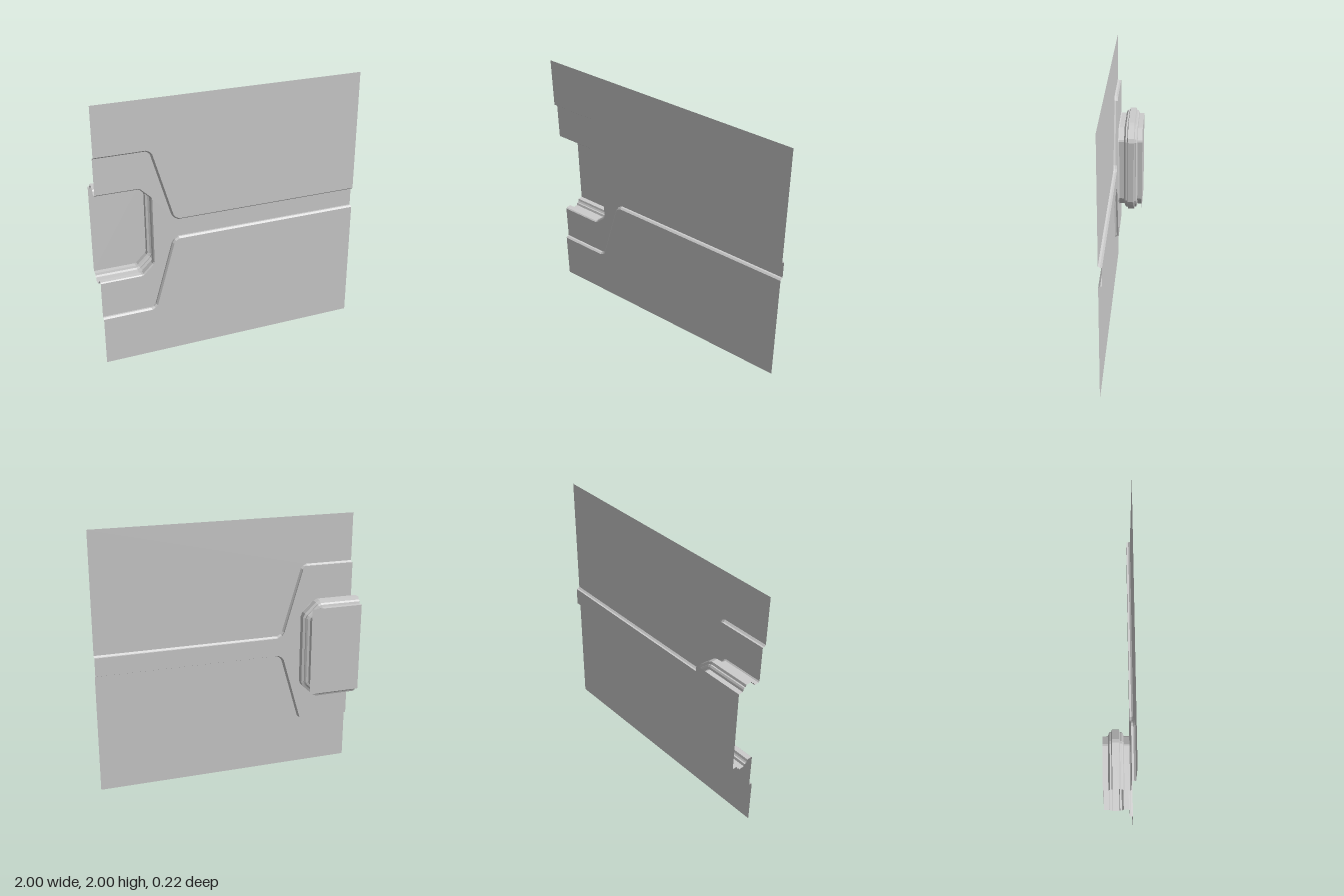
import * as THREE from 'three';

const MID = 1.0025;                       // height of the channel's centre line
const FRONT = 0.109, FLOOR = 0.082, BACK = -0.109;

const grey = new THREE.MeshStandardMaterial({ color: 0xcccccc, side: THREE.DoubleSide });
grey.name = 'plain grey';

// Shift an open polyline sideways (positive = left of travel) with mitred corners
function offsetPath(pts, d) {
  const normal = (a, b) => {
    const l = Math.hypot(b[0] - a[0], b[1] - a[1]);
    return [-(b[1] - a[1]) / l, (b[0] - a[0]) / l];
  };
  return pts.map((p, i) => {
    const n1 = i > 0 ? normal(pts[i - 1], p) : normal(p, pts[1]);
    const n2 = i < pts.length - 1 ? normal(p, pts[i + 1]) : n1;
    const k = d / (1 + n1[0] * n2[0] + n1[1] * n2[1]);
    return [p[0] + (n1[0] + n2[0]) * k, p[1] + (n1[1] + n2[1]) * k];
  });
}

// Sweep a profile of [offset, z] pairs along a path, with crisp facets
function wall(name, path, profile) {
  const rings = profile.map(([d, z]) => offsetPath(path, d).map(([x, y]) => [x, y, z]));
  const v = [];
  for (let r = 0; r < rings.length - 1; r++) {
    for (let i = 0; i < path.length - 1; i++) {
      const a = rings[r][i], b = rings[r][i + 1], c = rings[r + 1][i + 1], d = rings[r + 1][i];
      v.push(...a, ...d, ...c, ...a, ...c, ...b);
    }
  }
  const g = new THREE.BufferGeometry();
  g.setAttribute('position', new THREE.Float32BufferAttribute(v, 3));
  g.computeVertexNormals();
  return named(name, g);
}

// Flat sheet facing the front
function sheet(name, pts, z, hole) {
  const toV2 = (list) => list.map(([x, y]) => new THREE.Vector2(x, y));
  const shape = new THREE.Shape(toV2(pts));
  if (hole) shape.holes.push(new THREE.Path(toV2(hole)));
  return named(name, new THREE.ShapeGeometry(shape).translate(0, 0, z));
}

function named(name, geometry) {
  const mesh = new THREE.Mesh(geometry, grey);
  mesh.name = name;
  return mesh;
}

const at = (side) => ([x, h]) => [x, MID + side * h];

export function createModel() {
  const model = new THREE.Group();
  model.name = 'recessedPanel';

  // Edge of the channel, as distance from the centre line
  const edge = [[-1, 0.632], [-0.632, 0.632], [-0.608, 0.621], [-0.588, 0.601],
    [-0.447, 0.117], [-0.432, 0.096], [-0.406, 0.081], [1, 0.081]];
  const inner = offsetPath(edge, -0.011);
  const floorEdge = [inner[0], [-0.604, 0.621], ...inner.slice(4)];

  // Front sheets and the stepped channel walls, above and below
  for (const side of [1, -1]) {
    const label = side > 0 ? 'upper' : 'lower';
    const path = edge.map(at(side));
    const outerY = side > 0 ? 2 : 0;
    model.add(sheet(label + 'Panel', [...path, [1, outerY], [-1, outerY]], FRONT));
    model.add(wall(label + 'ChannelWall', path,
      [[0, FRONT], [-0.011 * side, 0.096], [-0.011 * side, FLOOR]]));
  }

  // Pocket opening with cut corners, open at the right end
  const half = [[-1, 0.347], [-0.69, 0.347], [-0.674, 0.34], [-0.6, 0.269], [-0.592, 0.252]];
  const pocket = [...half.map(at(1)), ...half.map(at(-1)).reverse()];

  // Channel floor, notched round the pocket
  model.add(sheet('channelFloor', [
    ...floorEdge.map(at(1)),
    ...floorEdge.map(at(-1)).reverse(),
    ...pocket.slice().reverse(),
  ], FLOOR));

  // Pocket wall with a stepped groove round its middle
  model.add(wall('pocketWall', pocket, [
    [0, FLOOR], [-0.008, 0.074], [-0.008, 0.036], [0.01, 0.03], [0.02, 0.022],
    [0.02, 0.01], [0.038, 0.004], [0.038, -0.044], [0.02, -0.05],
    [0.02, -0.06], [0.008, -0.068], [-0.008, -0.072], [-0.008, BACK],
  ]));

  // Square-cornered back of the pocket
  model.add(sheet('pocketBack',
    [[-1, MID + 0.339], [-0.6, MID + 0.339], [-0.6, MID - 0.339], [-1, MID - 0.339]], BACK));

  return model;
}
